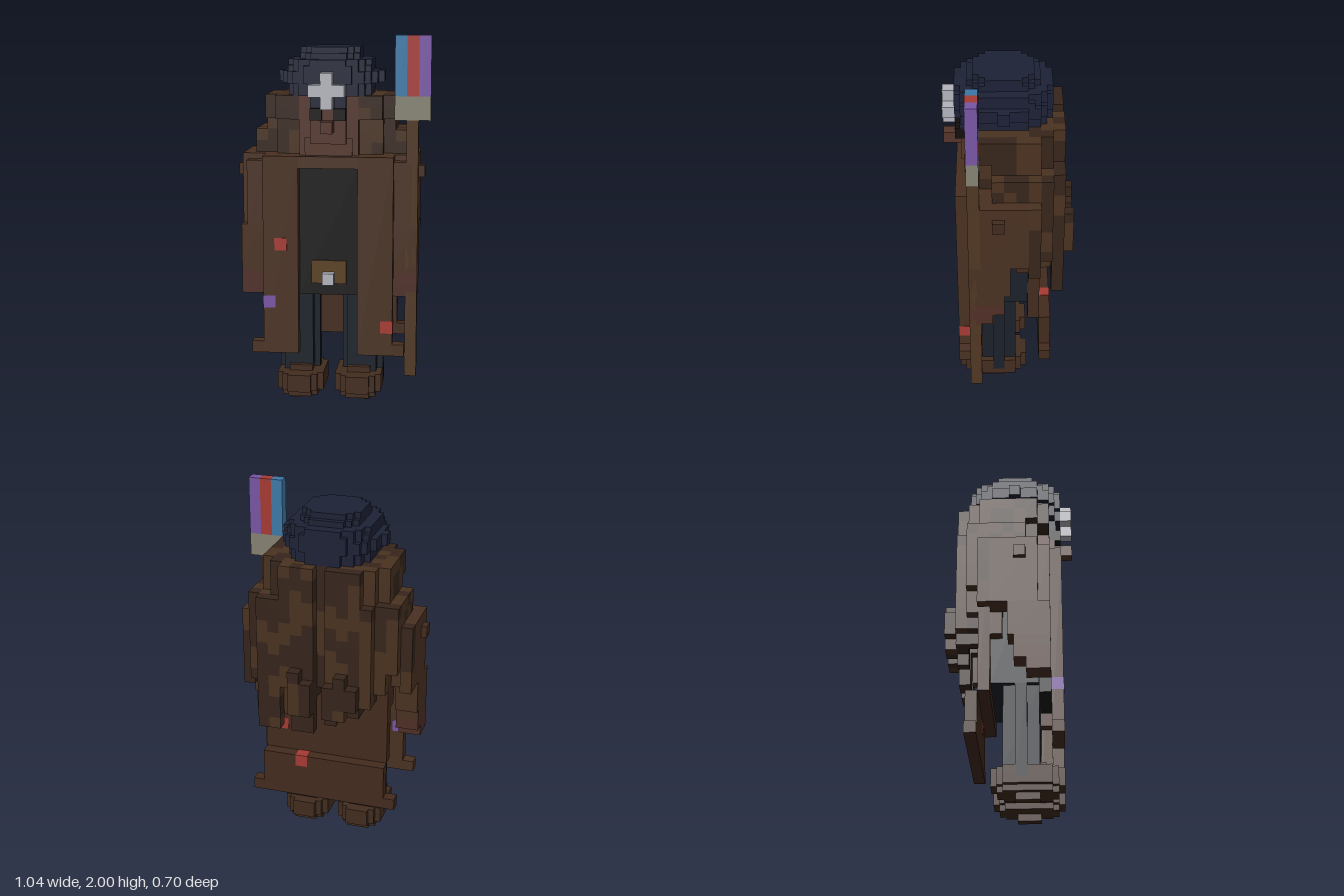
import * as THREE from 'three';
import { mergeGeometries } from 'three/addons/utils/BufferGeometryUtils.js';

const V = 0.0633;       // voxel size
const CX = -0.0155;     // centre of voxel column 0
const Y0 = 0.0374;      // bottom of voxel row 0

const C = {
  coat: 0x4a3122, coatDark: 0x432b1d, hairDark: 0x36251b, hairLight: 0x4a3220, skin: 0x54352a,
  hand: 0x4f2e26, hat: 0x1d2136, trousers: 0x1b212b, shirt: 0x19191b, shoe: 0x432c1f, eye: 0x120e0d,
  red: 0xa63a34, blue: 0x3c78a8, purple: 0x7856a4, stone: 0x858272, metal: 0xb4b4bd,
  wood: 0x503723, buckle: 0x5a3f22,
};

export function createModel() {
  const root = new THREE.Group();
  root.name = 'voxelFigure';

  const part = (name) => {
    const group = new THREE.Group();
    group.name = name;
    root.add(group);
    return group;
  };

  const addMesh = (name, geometry, color, parent) => {
    const mesh = new THREE.Mesh(geometry, new THREE.MeshStandardMaterial({ color, flatShading: true }));
    mesh.name = name;
    parent.add(mesh);
  };

  // Box spanning whole voxels a..b on each axis (fractions allowed); grow lifts inlays off a surface
  const box = (name, color, [x0, x1], [y0, y1], [z0, z1], parent = root, grow = 0) => {
    const g = new THREE.BoxGeometry(
      (x1 - x0 + 1) * V + grow, (y1 - y0 + 1) * V + grow, (z1 - z0 + 1) * V + grow);
    g.translate(CX + (x0 + x1) / 2 * V, Y0 + (y0 + y1 + 1) / 2 * V, (z0 + z1) / 2 * V);
    addMesh(name, g, color, parent);
  };

  // The same box on both sides
  const pair = (name, color, [x0, x1], y, z, parent) => {
    box(name + 'Right', color, [-x1, -x0], y, z, parent);
    box(name + 'Left', color, [x0, x1], y, z, parent);
  };

  // Outer faces of a filled voxel region, split into one mesh per colour
  const sides = [
    [1, 0, 0, 'rotateY', Math.PI / 2], [-1, 0, 0, 'rotateY', -Math.PI / 2],
    [0, 1, 0, 'rotateX', -Math.PI / 2], [0, -1, 0, 'rotateX', Math.PI / 2],
    [0, 0, 1, 'rotateY', 0], [0, 0, -1, 'rotateY', Math.PI],
  ];
  const voxels = (name, [x0, x1], [y0, y1], [z0, z1], filled, colorAt, size, origin) => {
    const group = part(name);
    const faces = new Map();
    for (let x = x0; x <= x1; x++) for (let y = y0; y <= y1; y++) for (let z = z0; z <= z1; z++) {
      if (!filled(x, y, z)) continue;
      const color = colorAt(x, y, z);
      if (!faces.has(color)) faces.set(color, []);
      for (const [dx, dy, dz, turn, angle] of sides) {
        if (filled(x + dx, y + dy, z + dz)) continue;
        const g = new THREE.PlaneGeometry(size, size)[turn](angle);
        g.translate(origin[0] + (x + dx / 2) * size, origin[1] + (y + 0.5 + dy / 2) * size,
          origin[2] + (z + dz / 2) * size);
        faces.get(color).push(g);
      }
    }
    let n = 1;
    for (const [color, list] of faces) addMesh(name + 'Tone' + n++, mergeGeometries(list), color, group);
  };

  // Rounded solid in half voxels, an even number of cells wide: radii [x, z] per layer
  const inLayers = (layers, power) => (x, y, z) => {
    const r = layers[y];
    return !!r && Math.pow(Math.abs(x + 0.5) / r[0], power) + Math.pow(Math.abs(z + 0.5) / r[1], power) <= 1;
  };

  const hash = (a, b, c = 0) => {
    const s = Math.sin(a * 12.99 + b * 78.23 + c * 37.7) * 43758.5;
    return s - Math.floor(s);
  };

  // Hat with a small stud on each side, and a cross badge
  const dome = inLayers([[7, 8], [7.3, 8.1], [8.2, 8.2], [8.2, 8.2], [7.4, 8.2], [7.1, 8], [5.3, 6.1], [5.1, 5.2]], 2.4);
  const inHat = (x, y, z) => dome(x, y, z)
    || (Math.abs(x + 0.5) < 9 && (y === 2 || y === 3) && (z === -1 || z === 0));
  voxels('hat', [-9, 8], [0, 7], [-8, 7], inHat, () => C.hat, V / 2, [CX + V / 4, Y0 + 26 * V, V * 0.75]);
  const badge = part('hatCross');
  box('crossUpright', C.metal, [0, 0], [25, 27], [5, 5], badge);
  pair('crossArm', C.metal, [1, 1], [26, 26], [5, 5], badge);

  // Head and face
  const head = part('head');
  box('skull', C.skin, [-2, 2], [21, 25], [-1, 3], head);
  box('cheeks', C.skin, [-1, 1], [22, 23], [3.5, 3.5], head);
  box('chin', C.skin, [-1.5, 1.5], [21, 21.5], [3.25, 3.25], head);
  box('nose', C.skin, [0, 0], [23, 23], [4, 5], head);
  box('noseBridge', C.skin, [0, 0], [24, 24], [3.6, 3.6], head);
  pair('eye', C.eye, [1, 1], [24, 24], [4, 4], head);
  pair('brow', C.hat, [1, 1], [25, 25], [3.6, 3.6], head);
  box('collar', C.coat, [-2, 2], [20, 20], [2, 4]);

  // Long hair: widens downward, rounded front and back, ragged lower edge, parted in the middle
  const inHair = (x, y, z) => {
    const a = Math.abs(x);
    if (y > 25 || z < -5) return false;
    if (z === -5) return x >= -3 && x <= 2 && x !== 0 && y >= 13 + Math.floor(hash(x, 3) * 2) && y <= 16 - (a % 2);
    const width = y >= 23 ? 5 : y >= 21 ? 6 : 7;
    const back = z === -4 ? (y > 22 ? 3 : x > 0 ? 5 : 4) : z === -3 ? (y > 22 ? 4 : 6) : 7;
    if (a > Math.min(width, back)) return false;
    if (z === -4 && x === 0) return false;
    if (y >= 21) {
      const front = (y >= 24 ? 3 : 2) - (a >= 5 ? 1 : 0);
      return z <= front && (a >= 3 || z <= -2);
    }
    if (z > -2) return false;
    const hem = a >= 6 ? 14 : z === -4 ? 11 : 12;
    return y >= hem + Math.floor(hash(x, z) * 4.5);
  };
  voxels('hair', [-7, 7], [11, 25], [-5, 3], inHair,
    (x, y, z) => hash(x, Math.floor((y + x * x) / 2), z) > 0.55 ? C.hairLight : C.hairDark, V, [CX, Y0, 0]);

  // Body
  box('torso', C.trousers, [-4, 4], [9, 20], [-1, 2]);
  box('shirt', C.shirt, [-2, 2], [9, 19], [3, 3]);
  box('buckle', C.buckle, [-1, 1], [10, 11], [3.15, 3.15]);
  box('buckleKnob', C.metal, [0, 0], [10, 10], [3.9, 3.9]);

  // Long coat: front panels, back sheet and flared tail
  const coat = part('coat');
  pair('frontPanel', C.coat, [3, 5], [4, 20], [4, 4], coat);
  pair('frontFlare', C.coat, [6, 6], [4, 4], [4, 4], coat);
  pair('shoulder', C.coat, [3, 5], [20, 20], [0, 3], coat);
  pair('coatSide', C.coatDark, [5, 5], [13, 20], [-1, -1], coat);
  box('backSheet', C.coatDark, [-5, 5], [8, 20], [-2, -2], coat);
  box('tail', C.coatDark, [-5, 5], [4, 7], [-3, -3], coat);
  pair('tailFlare', C.coatDark, [6, 6], [4, 4], [-3, -3], coat);
  const patches = [
    ['red', -4, 13, 4], ['purple', -5, 8, 4], ['red', 5, 6, 4], ['red', 2, 7, -3], ['red', 4, 10, -2],
  ];
  for (const [color, x, y, z] of patches) box(color + 'Patch', C[color], [x, x], [y, y], [z, z], coat, 0.004);

  // Sleeves with a rounded shoulder, stepped forward toward the hands
  const arms = part('arms');
  pair('upperSleeve', C.coat, [6, 7], [15, 20], [-1, 2], arms);
  pair('sleeveFront', C.coat, [6, 6.5], [15, 19.5], [3, 3], arms);
  pair('lowerSleeve', C.coat, [6, 7], [12, 14], [0.5, 3], arms);
  pair('cuff', C.coat, [6, 7], [11, 11], [1, 3], arms);
  pair('hand', C.hand, [6, 7], [10, 10], [1, 3], arms);
  pair('fingers', C.hand, [6, 7], [9, 9], [2, 3], arms);
  pair('sleeveButton', C.coatDark, [7.5, 7.5], [19, 19], [1, 1], arms);

  // Legs with a raised seam at the sides
  const legs = part('legs');
  pair('leg', C.trousers, [2, 3.5], [2, 8], [0, 2], legs);
  pair('legSeam', C.trousers, [1.5, 4.02], [1, 8], [1, 1], legs);
  pair('heelNub', C.shoe, [3, 3], [-0.59, 0], [1, 2], legs);

  // Rounded shoes: sole, upper and tongue
  const inShoe = inLayers([[3.4, 5.4], [4.1, 6.1], [4.1, 6.1], [4.1, 6.1], [2.2, 3.2]], 2.6);
  for (const [name, x] of [['shoeRight', -2.5], ['shoeLeft', 2.5]]) {
    voxels(name, [-4, 3], [0, 4], [-6, 5], inShoe, () => C.shoe, V / 2, [CX + x * V + V / 4, Y0, 1.75 * V]);
  }

  // Banner on a pole
  const banner = part('banner');
  box('pole', C.wood, [7, 7], [2, 23], [3, 3], banner);
  box('bannerBase', C.stone, [6, 8], [24, 25], [3, 3], banner);
  ['blue', 'red', 'purple'].forEach((c, i) => box(c + 'Stripe', C[c], [6 + i, 6 + i], [26, 30], [3, 3], banner));

  return root;
}
